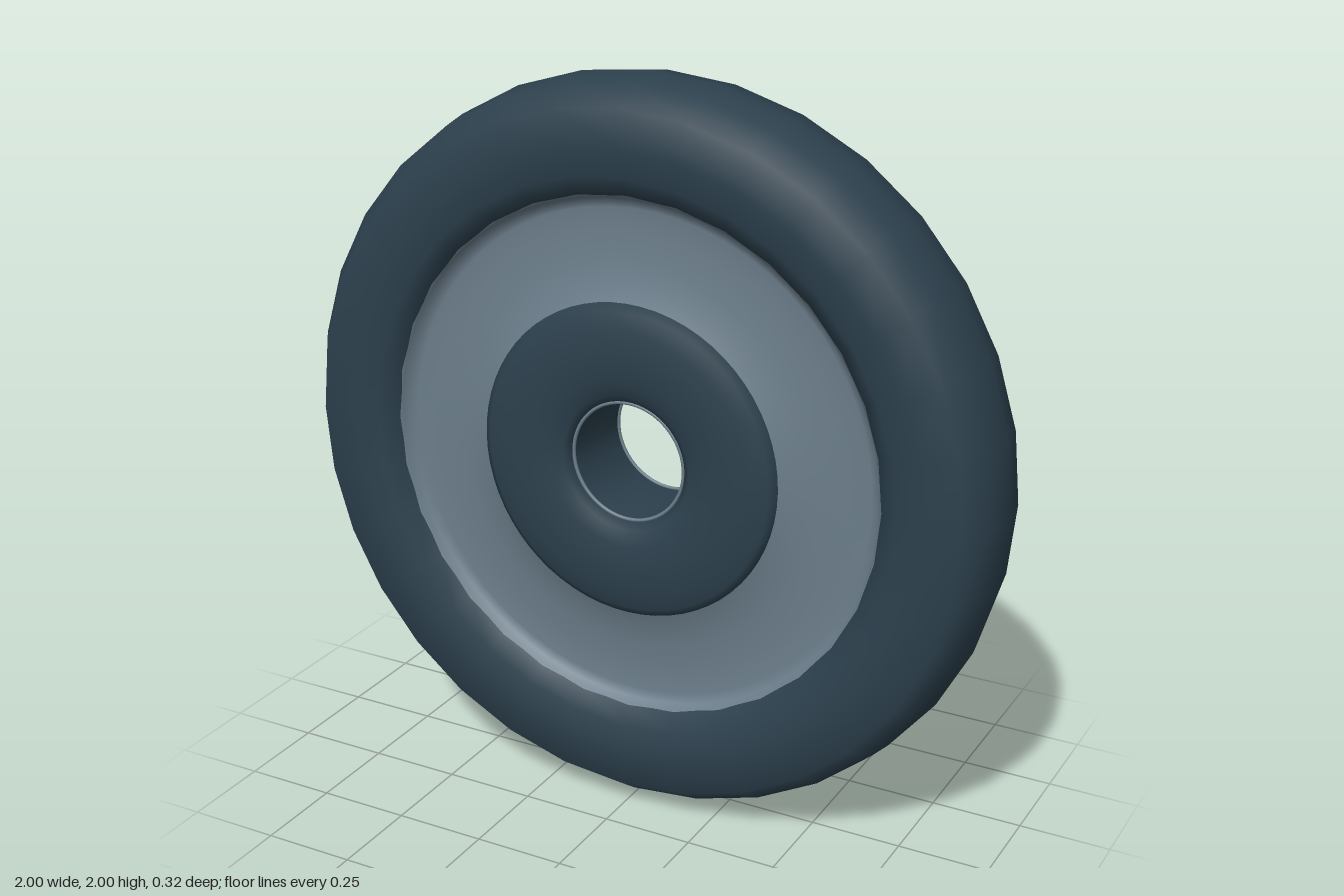
import * as THREE from 'three';

const dark = new THREE.MeshStandardMaterial({ color: 0x2c404d });
const grey = new THREE.MeshStandardMaterial({ color: 0x6b7d8a });

// Spin an (r, z) profile around the z axis
function spin(name, points, segments, material) {
  const geo = new THREE.LatheGeometry(points.map(([r, z]) => new THREE.Vector2(r, z)), segments);
  geo.rotateX(Math.PI / 2);
  const mesh = new THREE.Mesh(geo, material);
  mesh.name = name;
  return mesh;
}

// Complete a front half profile with its mirrored back half
const backOf = (points) => points.map(([r, z]) => [r, -z]).reverse();

export function createModel() {
  const wheel = new THREE.Group();
  wheel.name = 'wheel';

  // Tyre: faceted tread with rounded sidewalls
  const tyreHalf = [[0.985, 0.09], [0.935, 0.16], [0.83, 0.16], [0.76, 0.155], [0.71, 0.125], [0.705, 0.08]];
  wheel.add(spin('tyre', [...backOf(tyreHalf), [1, 0], ...tyreHalf], 32, dark));

  // Hub: rounded collar on both sides joined by the axle bore
  const hubHalf = [[0.43, 0.09], [0.43, 0.125], [0.41, 0.138], [0.36, 0.15], [0.295, 0.156], [0.23, 0.15], [0.185, 0.138], [0.163, 0.12]];
  const hub = [...hubHalf, ...backOf(hubHalf)];
  wheel.add(spin('hub', hub, 64, dark));

  // Dished discs and thin bore rings, one per side
  const disc = [[0.715, 0.128], [0.703, 0.12], [0.695, 0.1], [0.67, 0.09], [0.6, 0.091], [0.53, 0.097], [0.47, 0.108], [0.425, 0.125]];
  for (const side of [1, -1]) {
    const face = new THREE.Group();
    face.name = side > 0 ? 'frontFace' : 'backFace';
    face.add(spin('disc', disc, 64, grey));
    const ring = new THREE.Mesh(new THREE.TorusGeometry(0.162, 0.005, 8, 64), grey);
    ring.name = 'boreRing';
    ring.position.z = 0.12;
    face.add(ring);
    if (side < 0) face.rotation.y = Math.PI;
    wheel.add(face);
  }

  wheel.position.y = 1;
  const model = new THREE.Group();
  model.add(wheel);
  return model;
}
